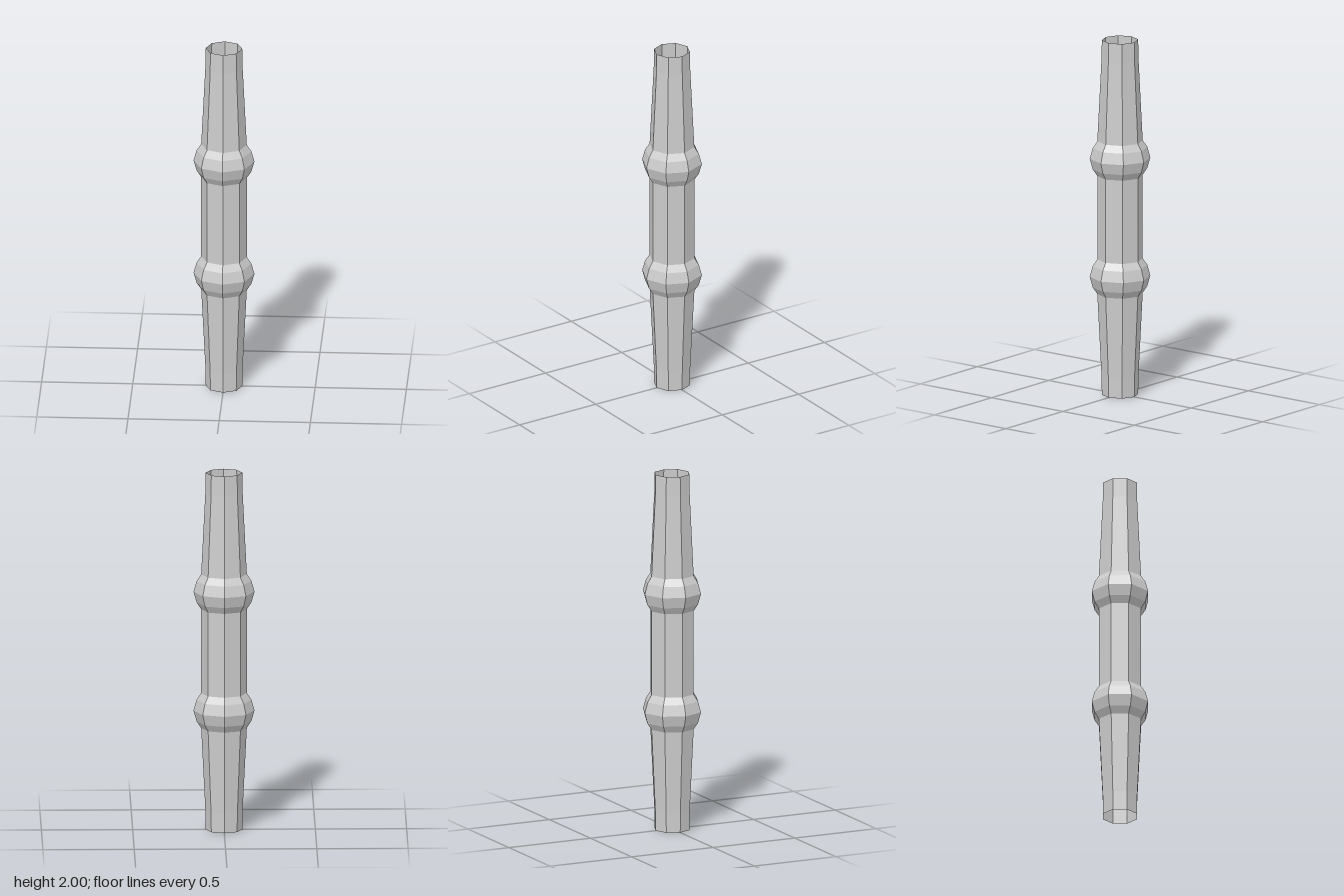
import * as THREE from 'three';

export function createModel() {
  const group = new THREE.Group();
  group.name = 'pipe';
  const metal = new THREE.MeshStandardMaterial({ color: 0xcccccc, flatShading: true, side: THREE.DoubleSide });
  metal.name = 'light grey';

  // Open eight-sided tube section from [radius, height] pairs
  const section = (name, profile) => {
    const points = profile.map(([r, y]) => new THREE.Vector2(r, y));
    const mesh = new THREE.Mesh(new THREE.LatheGeometry(points, 8), metal);
    mesh.name = name;
    group.add(mesh);
    return mesh;
  };

  // Tapered ends, straight at the mouth
  section('lowerTube', [[0.1, 0], [0.102, 0.11], [0.125, 0.57]]);
  section('upperTube', [[0.125, 1.43], [0.102, 1.89], [0.1, 2]]);
  section('middleTube', [[0.125, 0.765], [0.125, 1.235]]);

  // Bulging joints
  const joint = [[0.125, -0.098], [0.15, -0.06], [0.167, 0], [0.15, 0.06], [0.125, 0.098]];
  section('lowerJoint', joint).position.y = 0.667;
  section('upperJoint', joint).position.y = 1.333;

  return group;
}
